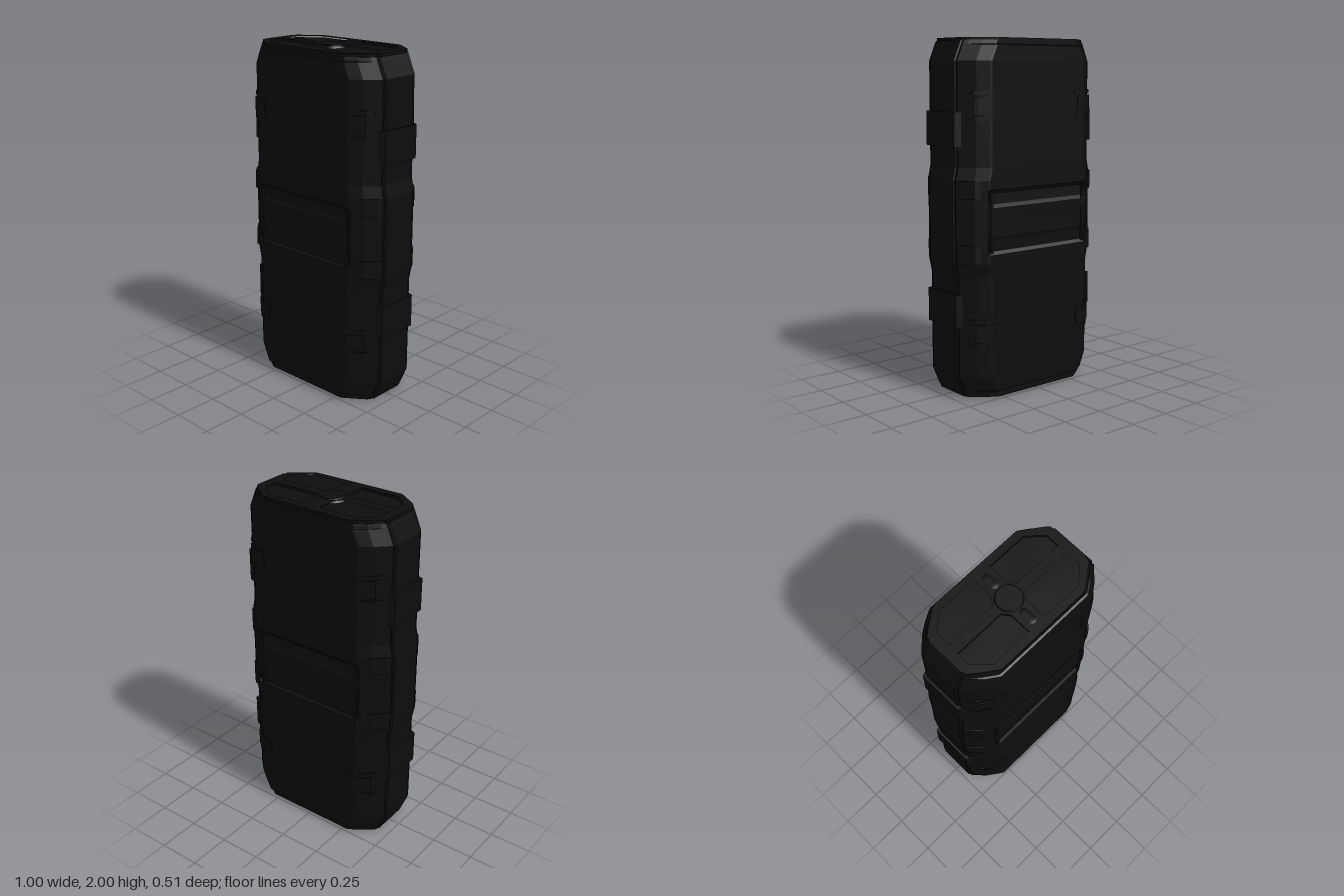
import * as THREE from 'three';

// Cross-section (x, z) of the case: half width w, half depth d, r = sink of the broad face
function section(w, d, r = 0) {
  const e = d - 0.25;
  const q = [
    [w, 0.11], [w - 0.01, 0.116], [w - 0.008, 0.13], [w - 0.028, 0.15],
    [w - 0.08, 0.203 + e], [w - 0.14, d - 0.005], [w - 0.152, d - r],
  ];
  const rev = [...q].reverse();
  return [
    ...q, ...rev.map(([x, z]) => [-x, z]),
    ...q.map(([x, z]) => [-x, -z]), ...rev.map(([x, z]) => [x, -z]),
  ];
}

// Flat-faced loft through rings [y, w, d, r], closed at both ends
function loft(rings) {
  const pos = [];
  const loops = rings.map(([y, w, d, r]) => section(w, d, r).map(([x, z]) => [x, y, z]));
  const n = loops[0].length;
  const tri = (...p) => p.forEach((v) => pos.push(...v));
  for (let k = 0; k < loops.length - 1; k++) {
    for (let i = 0; i < n; i++) {
      const j = (i + 1) % n, a = loops[k], b = loops[k + 1];
      tri(a[i], b[i], b[j]);
      tri(a[i], b[j], a[j]);
    }
  }
  const bottom = loops[0], top = loops[loops.length - 1];
  for (let i = 0; i < n; i++) {
    const j = (i + 1) % n;
    tri([0, top[0][1], 0], top[j], top[i]);
    tri([0, bottom[0][1], 0], bottom[i], bottom[j]);
  }
  const g = new THREE.BufferGeometry();
  g.setAttribute('position', new THREE.Float32BufferAttribute(pos, 3));
  g.computeVertexNormals();
  return g;
}

// Prism standing along y from an outline in x and z
function prism(points, height, holes = []) {
  const toV = (list) => list.map(([x, z]) => new THREE.Vector2(x, -z));
  const shape = new THREE.Shape(toV(points));
  holes.forEach((h) => shape.holes.push(new THREE.Path(toV(h))));
  const g = new THREE.ExtrudeGeometry(shape, { depth: height, bevelEnabled: false });
  return g.rotateX(-Math.PI / 2).translate(0, -height / 2, 0);
}

export function createModel() {
  const root = new THREE.Group();
  const black = new THREE.MeshStandardMaterial({ color: 0x0d0d0d });
  black.name = 'matte black';
  const add = (name, geo, x = 0, y = 0, z = 0, parent = root) => {
    const m = new THREE.Mesh(geo, black);
    m.name = name;
    m.position.set(x, y, z);
    parent.add(m);
    return m;
  };

  // Case body, with bulged waist and a sunken grip band on both broad faces
  const half = [
    [0.92, 0.5, 0.25, 0.005], [0.9, 0.5, 0.25, 0.013], [0.84, 0.5, 0.25, 0.016],
    [0.82, 0.5, 0.25, 0], [0.77, 0.5, 0.25, 0], [0.7, 0.485, 0.25, 0],
    [0.13, 0.485, 0.25, 0], [0.045, 0.449, 0.25, 0], [0.04, 0.447, 0.238, 0], [0.02, 0.438, 0.238, 0],
  ];
  add('caseBody', loft([...[...half].reverse(), ...half.map(([y, ...rest]) => [2 - y, ...rest])]));

  // Raised borders of the grip band
  for (const s of [1, -1]) {
    const frame = new THREE.Group();
    frame.name = 'gripFrame';
    for (const x of [-0.335, 0.335]) add('gripFrameEnd', new THREE.BoxGeometry(0.018, 0.34, 0.012), x, 1, s * 0.242, frame);
    root.add(frame);
  }

  // End caps: rim and cross ribs around four pockets, with a round boss and two bars
  const pocket = [[0.085, 0.03], [0.375, 0.03], [0.375, 0.11], [0.29, 0.19], [0.055, 0.19], [0.055, 0.07]];
  const holes = [[1, 1], [-1, 1], [-1, -1], [1, -1]].map(([a, b]) => pocket.map(([x, z]) => [a * x, b * z]));
  const capGeo = prism(section(0.432, 0.235), 0.015, holes);
  for (const s of [1, -1]) {
    const end = new THREE.Group();
    end.name = s > 0 ? 'topCap' : 'bottomCap';
    add('capPlate', capGeo, 0, 0.9875, 0, end);
    add('capBoss', new THREE.CylinderGeometry(0.07, 0.085, 0.02, 32), 0, 0.99, 0, end);
    for (const z of [-0.13, 0.13]) {
      const bar = add('capBar', new THREE.CapsuleGeometry(0.035, 0.05, 6, 16).rotateX(Math.PI / 2), 0, 0.985, z, end);
      bar.scale.y = 0.4;
    }
    end.position.y = 1;
    if (s < 0) end.rotation.x = Math.PI;
    root.add(end);
  }

  // Side pads
  const padOutline = [[0.44, -0.145], [0.46, -0.145], [0.5, -0.13], [0.5, 0.13], [0.46, 0.145], [0.44, 0.145]];
  for (const s of [1, -1]) {
    for (const y of [0.505, 1.505]) add('sidePad', prism(padOutline.map(([x, z]) => [s * x, z]), 0.19), 0, y, 0);
  }

  // Corner latches and small corner lugs, mirrored to all four edges
  const latch = [[0.26, 0.23], [0.26, 0.251], [0.335, 0.251], [0.4, 0.213], [0.42, 0.2], [0.452, 0.158], [0.44, 0.135], [0.39, 0.18], [0.32, 0.23]];
  const plate = [[0.285, 0.23], [0.285, 0.254], [0.337, 0.254], [0.404, 0.216], [0.425, 0.2], [0.4, 0.18], [0.32, 0.23]];
  const lug = [[0.39, 0.2], [0.395, 0.222], [0.425, 0.212], [0.478, 0.156], [0.492, 0.135], [0.47, 0.13]];
  for (const sx of [1, -1]) {
    for (const sz of [1, -1]) {
      const place = (pts) => pts.map(([x, z]) => [sx * x, sz * z]);
      for (const y of [0.38, 1.63]) {
        for (const o of [-0.07, 0.07]) add('latchHinge', prism(place(latch), 0.02), 0, y + o, 0);
        add('latchPlate', prism(place(plate), 0.1), 0, y, 0);
      }
      for (const y of [0.825, 1.18]) add('cornerLug', prism(place(lug), 0.1), 0, y, 0);
    }
  }
  return root;
}
